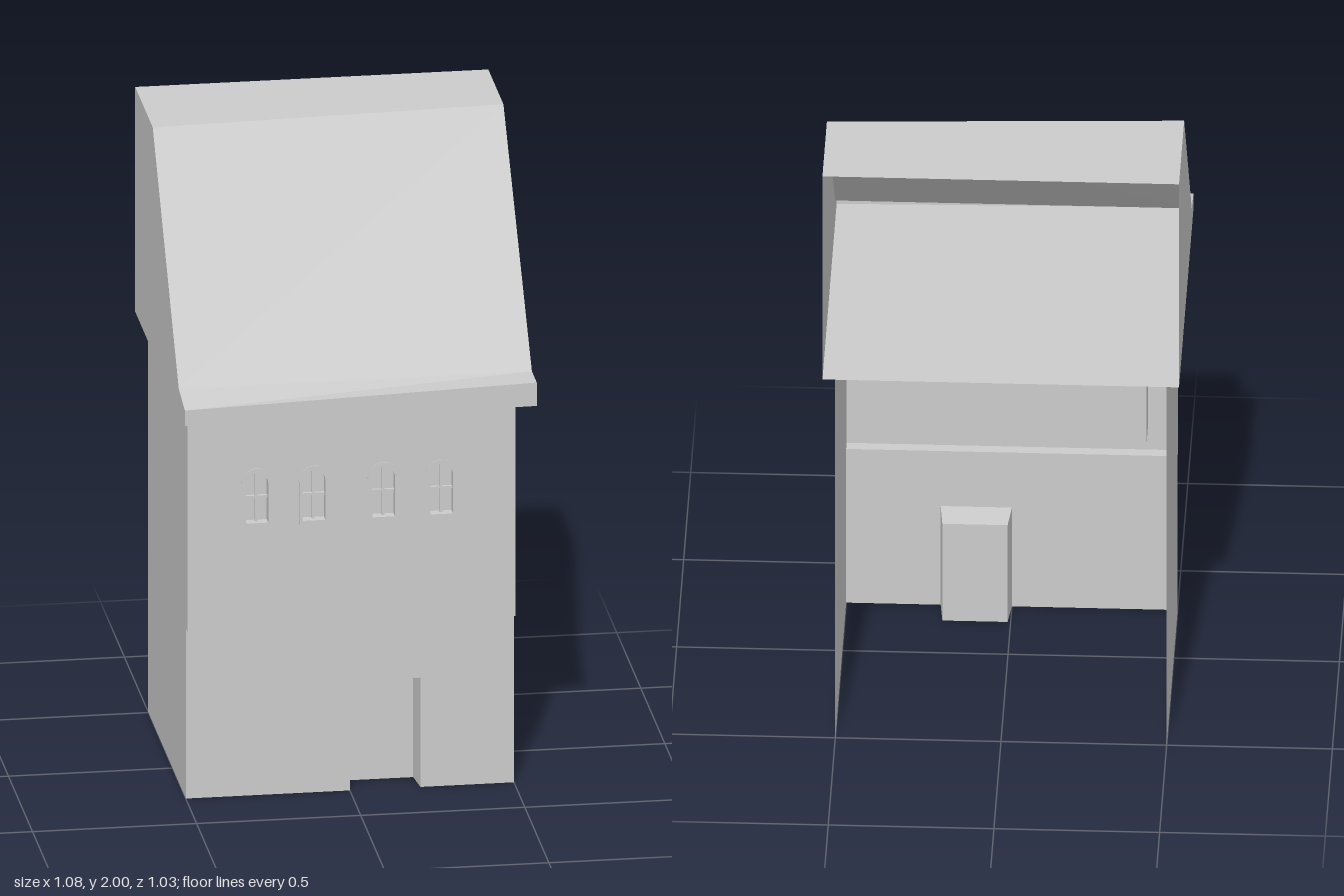
import * as THREE from 'three';

const material = new THREE.MeshStandardMaterial({ color: 0xcccccc, flatShading: true, side: THREE.DoubleSide });

function add(parent, name, geometry, x = 0, y = 0, z = 0) {
  const mesh = new THREE.Mesh(geometry, material);
  mesh.name = name;
  mesh.position.set(x, y, z);
  parent.add(mesh);
  return mesh;
}

// Skin between two matching point lists (arrays of Vector3)
function loft(a, b) {
  const pos = [];
  for (let i = 0; i < a.length - 1; i++) {
    for (const p of [a[i], b[i], b[i + 1], a[i], b[i + 1], a[i + 1]]) pos.push(p.x, p.y, p.z);
  }
  const g = new THREE.BufferGeometry();
  g.setAttribute('position', new THREE.Float32BufferAttribute(pos, 3));
  g.computeVertexNormals();
  return g;
}

const polygon = pts => new THREE.Shape(pts.map(p => new THREE.Vector2(p[0], p[1])));

// Flat side panel at a given x from a [z, y] outline, facing away from the centre
function sidePanel(parent, name, profile, x) {
  const s = Math.sign(x);
  const panel = add(parent, name, new THREE.ShapeGeometry(polygon(profile.map(([z, y]) => [-s * z, y]))), x);
  panel.rotation.y = s * Math.PI / 2;
}

// Round-headed window outline
function arch(path, r, y0, spring, x = 0) {
  path.moveTo(x - r, y0);
  path.lineTo(x + r, y0);
  path.lineTo(x + r, spring);
  path.absarc(x, spring, r, 0, Math.PI, false);
  path.lineTo(x - r, y0);
  return path;
}

const WINDOWS = [-0.288, -0.114, 0.098, 0.275];
const BACK = -0.512, LOWER = 0.275, UPPER = 0.31, STEP = 0.545, TOP = 1.27;

function buildWindow() {
  const g = new THREE.Group();
  g.name = 'archedWindow';

  // Casing, running back from the wall face
  const casing = arch(new THREE.Shape(), 0.044, 0.873, 1.01);
  casing.holes.push(arch(new THREE.Path(), 0.034, 0.884, 1.01));
  add(g, 'casing', new THREE.ExtrudeGeometry(casing, { depth: 0.032, bevelEnabled: false, curveSegments: 8 }), 0, 0, UPPER - 0.031);

  // Hood moulding over the arch
  const hood = new THREE.Shape();
  hood.absarc(0, 1.01, 0.049, 0, Math.PI, false);
  hood.absarc(0, 1.01, 0.04, Math.PI, 0, true);
  add(g, 'hood', new THREE.ExtrudeGeometry(hood, { depth: 0.006, bevelEnabled: false, curveSegments: 8 }), 0, 0, UPPER - 0.003);

  // Glazing bars
  add(g, 'mullion', new THREE.BoxGeometry(0.008, 0.16, 0.01), 0, 0.964, UPPER - 0.02);
  add(g, 'transom', new THREE.BoxGeometry(0.068, 0.007, 0.01), 0, 0.963, UPPER - 0.02);
  return g;
}

export function createModel() {
  const model = new THREE.Group();
  model.name = 'house';

  // Side walls, stepped at the jettied upper storey; the back is open
  const wall = [[BACK, 0], [LOWER, 0], [LOWER, STEP], [UPPER, STEP], [UPPER, TOP], [BACK, TOP]];
  sidePanel(model, 'leftWall', wall, 0.5);
  sidePanel(model, 'rightWall', wall, -0.5);

  // Lower front wall with the doorway notch
  const door = [[0, 0], [0, 0.35], [0.215, 0.35], [0.215, 0]];
  add(model, 'lowerFrontWall', new THREE.ShapeGeometry(polygon(
    [[-0.5, 0], ...door, [0.5, 0], [0.5, STEP], [-0.5, STEP]])), 0, 0, LOWER);

  // Recessed doorway, slightly narrower at the back
  const inner = [[0.009, 0], [0.009, 0.343], [0.206, 0.343], [0.206, 0]];
  const at = (pts, z) => pts.map(([x, y]) => new THREE.Vector3(x, y, z));
  add(model, 'doorReveal', loft(at(door, LOWER), at(inner, LOWER - 0.09)));
  add(model, 'door', new THREE.ShapeGeometry(polygon(inner)), 0, 0, LOWER - 0.09);

  // Underside of the overhang
  const ledge = [[-0.5, STEP], [0.5, STEP]];
  add(model, 'overhang', loft(at(ledge, UPPER), at(ledge, LOWER)));

  // Upper front wall with window openings
  const upper = polygon([[-0.5, STEP], [0.5, STEP], [0.5, TOP], [-0.5, TOP]]);
  for (const x of WINDOWS) upper.holes.push(arch(new THREE.Path(), 0.044, 0.873, 1.01, x));
  add(model, 'upperFrontWall', new THREE.ShapeGeometry(upper, 8), 0, 0, UPPER);
  for (const x of WINDOWS) {
    const w = buildWindow();
    w.position.x = x;
    model.add(w);
  }

  // Shallow box closing off the windows from inside
  const box = [[-0.41, 0.64], [0.41, 0.64], [0.41, 1.12], [-0.41, 1.12]];
  const rim = [...box, box[0]];
  add(model, 'windowBoxSides', loft(at(rim, UPPER - 0.002), at(rim, 0.19)));
  add(model, 'windowBoxBack', new THREE.ShapeGeometry(polygon(box)), 0, 0, 0.19);

  // Roof shell: floor, fascia, eave, slope and flat top, slightly skewed across its width
  const roofLeft = [[-0.517, 1.28], [0.49, 1.28], [0.49, 1.355], [0.388, 1.355], [-0.203, 2], [-0.517, 2]];
  const roofRight = [[-0.517, 1.28], [0.515, 1.28], [0.515, 1.33], [0.388, 1.355], [-0.152, 2], [-0.517, 2]];
  const section = (pts, x) => pts.map(([z, y]) => new THREE.Vector3(x, y, z));
  add(model, 'roof', loft(section(roofRight, -0.538), section(roofLeft, 0.538)));
  sidePanel(model, 'leftGable', roofLeft, 0.538);
  sidePanel(model, 'rightGable', roofRight, -0.538);

  return model;
}
